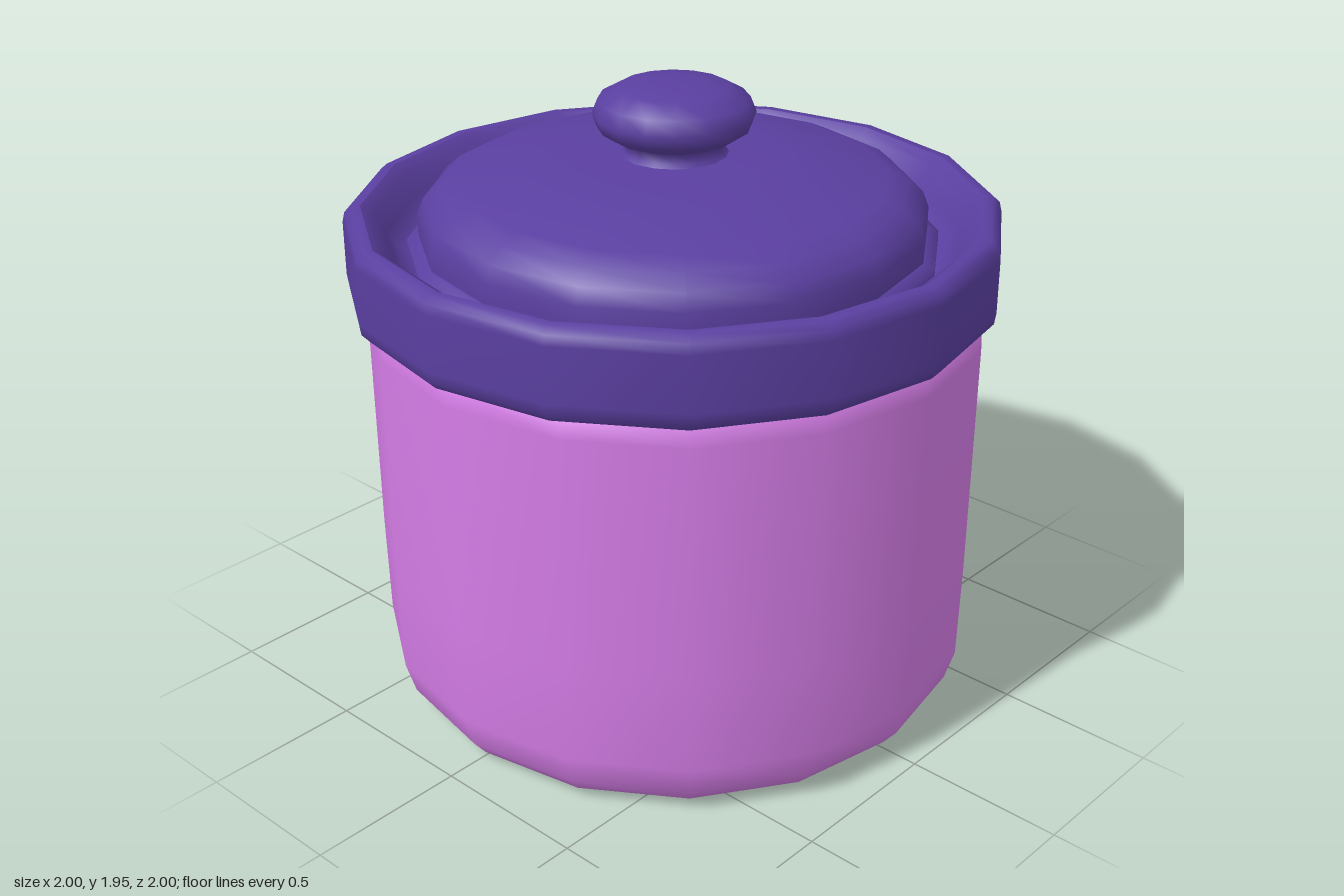
import * as THREE from 'three';

const SIDES = 16;

// Turned part made of one or more profile runs [radius, y]; a new run starts a sharp crease.
function turned(name, material, runs) {
  const group = new THREE.Group();
  group.name = name;
  runs.forEach((run, i) => {
    const points = run.map(([r, y]) => new THREE.Vector2(r, y));
    const mesh = new THREE.Mesh(new THREE.LatheGeometry(points, SIDES), material);
    mesh.name = `${name}Surface${i + 1}`;
    group.add(mesh);
  });
  return group;
}

export function createModel() {
  const model = new THREE.Group();
  model.name = 'lidded jar';
  const pink = new THREE.MeshStandardMaterial({ color: 0xd47ce6, side: THREE.DoubleSide });
  const purple = new THREE.MeshStandardMaterial({ color: 0x5a3fa0, side: THREE.DoubleSide });

  // Jar body: thin open shell with a rounded foot and a shoulder tucked under the lid
  const body = turned('body', pink, [
    [[0.815, 0], [0.865, 0.025], [0.91, 0.08], [0.94, 0.18], [0.947, 0.5],
      [0.952, 1.24], [0.937, 1.3], [0.9, 1.34]],
  ]);
  body.position.set(0.016, 0, 0.004);
  model.add(body);

  // Lid rim: bevelled outer band, then the sloping channel inside it
  model.add(turned('lidRim', purple, [
    [[0.972, 1.3], [0.995, 1.325], [1, 1.36], [1, 1.53], [0.993, 1.56], [0.972, 1.58], [0.945, 1.58]],
    [[0.945, 1.58], [0.91, 1.555], [0.87, 1.495], [0.845, 1.455], [0.81, 1.44]],
  ]));

  // Lid dome: small step, then an upright edge and a shallow crown
  model.add(turned('lidDome', purple, [
    [[0.81, 1.44], [0.81, 1.47], [0.775, 1.485]],
    [[0.775, 1.485], [0.775, 1.55], [0.755, 1.6], [0.71, 1.64], [0.65, 1.668], [0.47, 1.713],
      [0.31, 1.737], [0, 1.74]],
  ]));

  // Knob: flared neck and flattened ball
  model.add(turned('knob', purple, [
    [[0.168, 1.735], [0.152, 1.75], [0.15, 1.78], [0.19, 1.793], [0.23, 1.82],
      [0.245, 1.86], [0.227, 1.905], [0.165, 1.94], [0.08, 1.953], [0, 1.954]],
  ]));

  return model;
}
